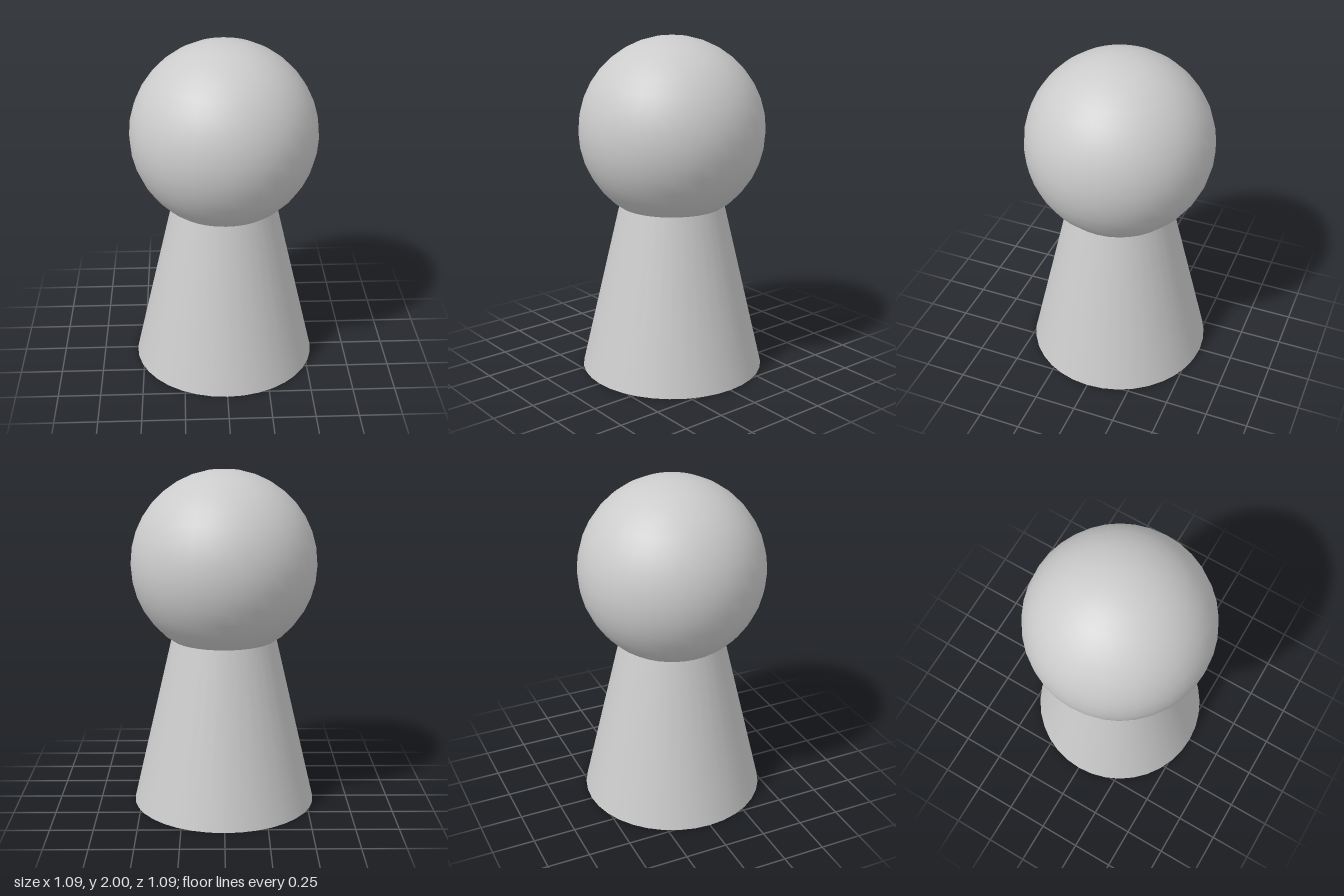
import * as THREE from 'three';

export function createModel() {
  const group = new THREE.Group();
  const material = new THREE.MeshStandardMaterial({ color: 0xcccccc });
  const radius = 0.545;
  const bodyHeight = 1.17;

  // tapered body, its top hidden inside the head
  const body = new THREE.Mesh(
    new THREE.CylinderGeometry(radius / 2, radius, bodyHeight, 36),
    material
  );
  body.name = 'body';
  body.position.y = bodyHeight / 2;

  // round head
  const head = new THREE.Mesh(new THREE.SphereGeometry(radius, 36, 18), material);
  head.name = 'head';
  head.position.y = 2 - radius;

  group.add(body, head);
  return group;
}
